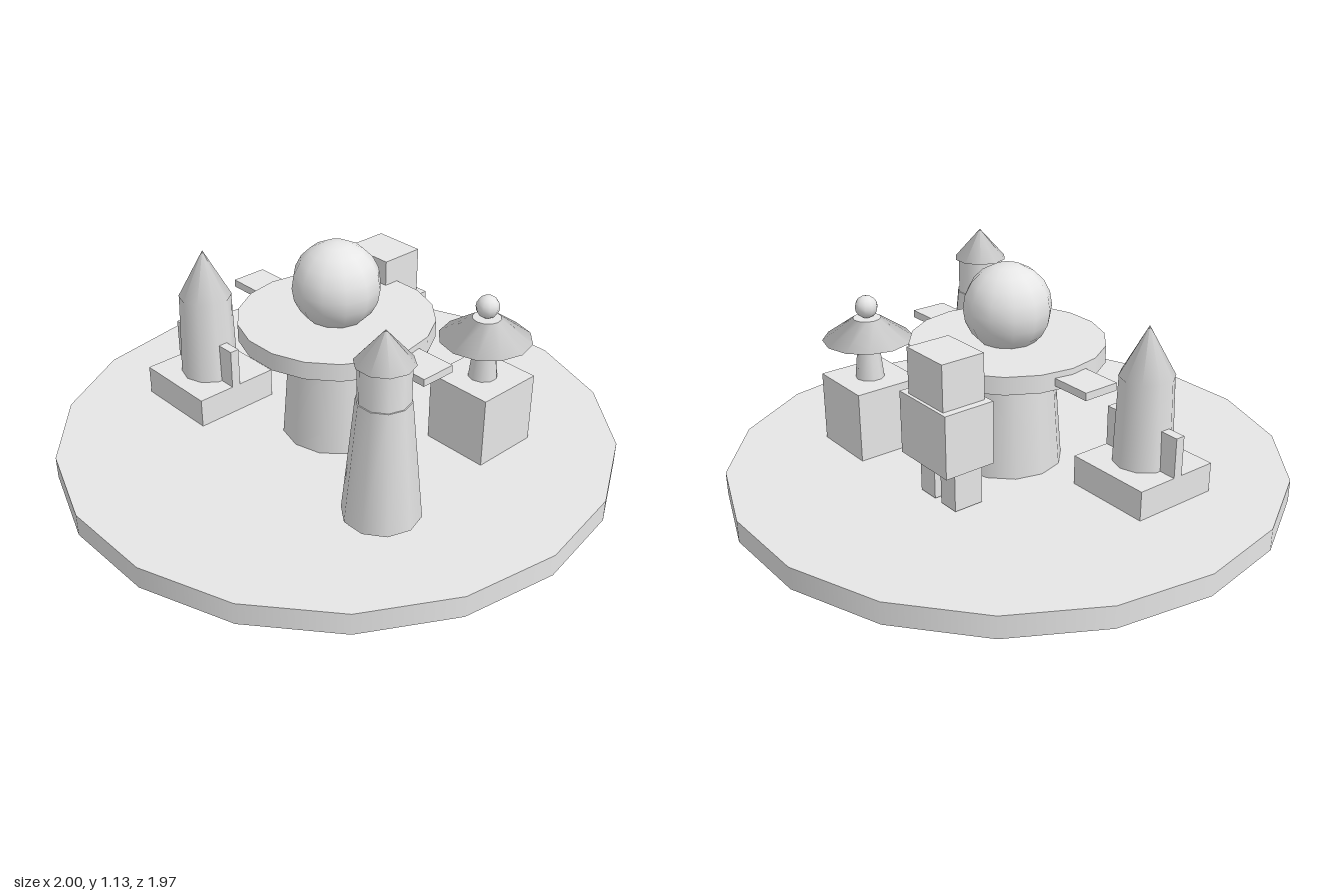
import * as THREE from 'three';

export function createModel() {
  const model = new THREE.Group();
  model.name = 'islandPark';
  const grey = new THREE.MeshStandardMaterial({ color: 0xe6e6e6 });
  grey.name = 'light grey';

  const add = (parent, name, geometry, x, y, z) => {
    const mesh = new THREE.Mesh(geometry, grey);
    mesh.name = name;
    mesh.position.set(x, y, z);
    parent.add(mesh);
    return mesh;
  };
  // Box given by its bounds
  const box = (parent, name, [x0, x1], [y0, y1], [z0, z1]) =>
    add(parent, name, new THREE.BoxGeometry(x1 - x0, y1 - y0, z1 - z0),
      (x0 + x1) / 2, (y0 + y1) / 2, (z0 + z1) / 2);
  // Upright frustum from y0 to y1, its side shaded like a straight cylinder;
  // turned puts a corner on the x axis
  const frustum = (parent, name, rBottom, rTop, y0, y1, sides, x = 0, z = 0, turned = false) => {
    const geometry = new THREE.CylinderGeometry(rTop, rBottom, y1 - y0, sides);
    const normal = geometry.attributes.normal;
    for (let i = 0; i < normal.count; i++) {
      const nx = normal.getX(i), nz = normal.getZ(i), length = Math.hypot(nx, nz);
      if (length > 0.01) normal.setXYZ(i, nx / length, 0, nz / length);
    }
    const mesh = add(parent, name, geometry, x, (y0 + y1) / 2, z);
    if (turned) mesh.rotation.y = Math.PI / 2;
    return mesh;
  };
  const group = (name) => {
    const g = new THREE.Group();
    g.name = name;
    model.add(g);
    return g;
  };

  // Floating base
  const base = group('base');
  frustum(base, 'underside', 0.42, 0.945, 0, 0.33, 14, 0, 0, true);
  frustum(base, 'groundDisc', 1, 1, 0.328, 0.408, 18, 0, 0, true);

  // Central pedestal with ball and side ledges
  const centre = group('centrepiece');
  frustum(centre, 'column', 0.195, 0.165, 0.408, 0.795, 12);
  frustum(centre, 'platform', 0.342, 0.342, 0.795, 0.858, 18, 0, 0, true);
  box(centre, 'sideLedges', [-0.48, 0.48], [0.81, 0.837], [-0.066, 0.066]);
  add(centre, 'ball', new THREE.SphereGeometry(0.154, 12, 10), 0, 0.973, 0);

  // Tall tower, front left
  const tower = group('tallTower');
  frustum(tower, 'towerBody', 0.133, 0.09, 0.42, 0.85, 10, 0.49, 0.253, true);
  frustum(tower, 'towerTop', 0.086, 0.086, 0.85, 0.978, 10, 0.49, 0.253, true);
  frustum(tower, 'towerRoof', 0.098, 0, 0.978, 1.09, 10, 0.49, 0.253, true);

  // Short tower on a plinth crossed by a low wall
  const keep = group('shortTower');
  box(keep, 'plinth', [-0.64, -0.315], [0.408, 0.515], [0.042, 0.367]);
  box(keep, 'wall', [-0.64, -0.315], [0.515, 0.66], [0.19, 0.225]);
  frustum(keep, 'keepBody', 0.104, 0.094, 0.515, 0.825, 10, -0.477, 0.205);
  frustum(keep, 'keepRoof', 0.096, 0, 0.825, 1, 10, -0.477, 0.205);

  // Parasol on a block
  const parasol = group('parasol');
  box(parasol, 'block', [0.277, 0.527], [0.408, 0.665], [-0.443, -0.19]);
  frustum(parasol, 'post', 0.052, 0.036, 0.665, 0.815, 10, 0.402, -0.317);
  frustum(parasol, 'canopy', 0.162, 0.05, 0.812, 0.89, 12, 0.402, -0.317);
  add(parasol, 'finial', new THREE.SphereGeometry(0.041, 10, 8), 0.402, 0.93, -0.317);

  // Blocky statue at the back
  const statue = group('statue');
  for (const x of [-0.23, -0.115]) box(statue, 'leg', [x, x + 0.08], [0.415, 0.565], [-0.4, -0.29]);
  box(statue, 'torso', [-0.262, -0.008], [0.565, 0.788], [-0.455, -0.265]);
  box(statue, 'head', [-0.235, -0.043], [0.788, 0.95], [-0.443, -0.28]);
  box(statue, 'facePlate', [-0.2, -0.075], [0.81, 0.9], [-0.28, -0.265]);

  return model;
}
